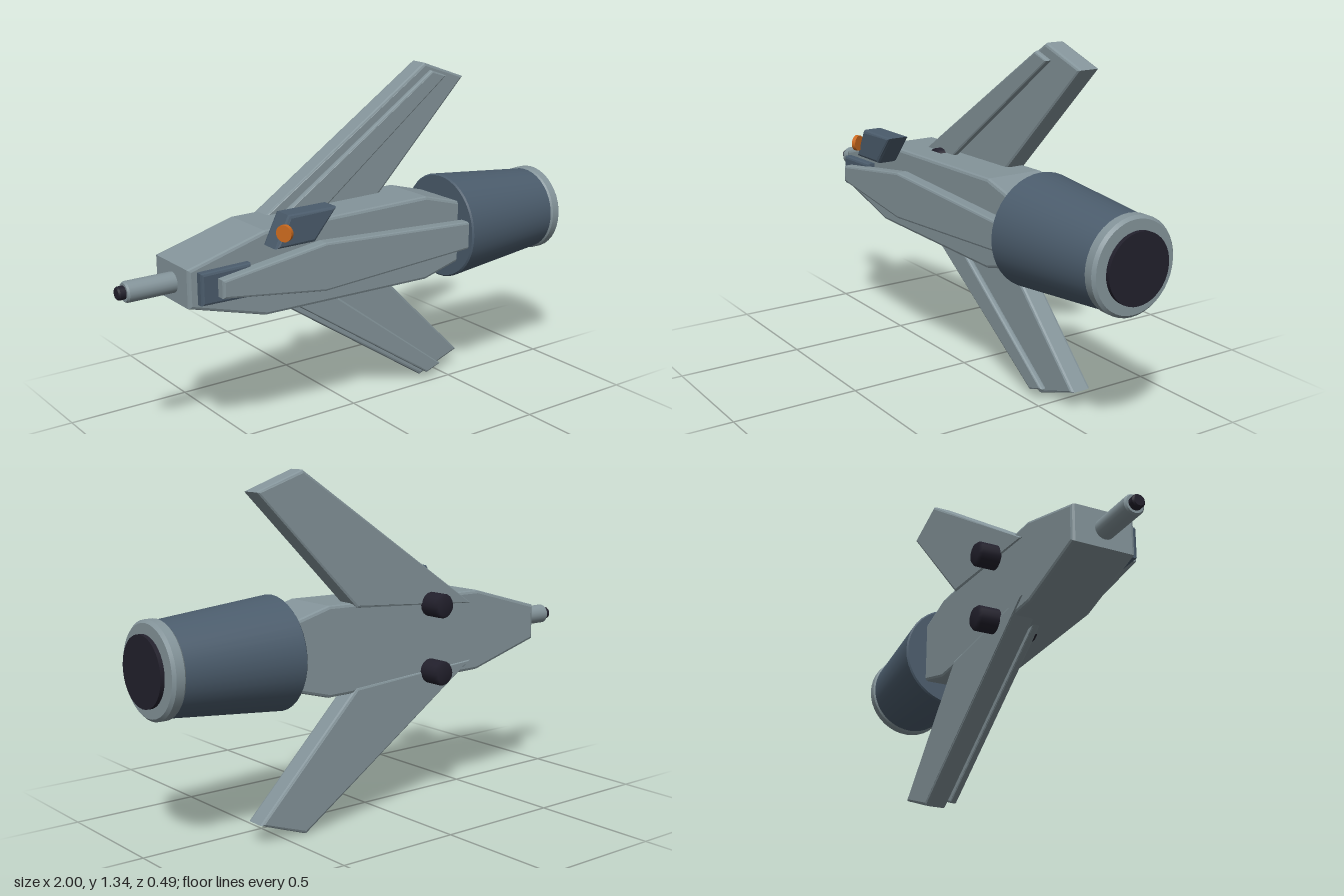
import * as THREE from 'three';

const material = (name, color) => {
  const m = new THREE.MeshStandardMaterial({ color });
  m.name = name;
  return m;
};

export function createModel() {
  const hull = material('hull grey', 0x84949a);
  const slate = material('slate blue', 0x4b5c6c);
  const dark = material('near black', 0x22202c);
  const orange = material('orange', 0xcc6a1e);

  const CY = 0.668; // height of the long axis
  const CZ = -0.026; // depth of the long axis
  const model = new THREE.Group();
  model.name = 'spacecraft';

  const add = (name, geometry, mat, x = 0, y = 0, z = 0) => {
    const mesh = new THREE.Mesh(geometry, mat);
    mesh.name = name;
    mesh.position.set(x, y, z);
    model.add(mesh);
    return mesh;
  };

  // Bevelled slab with an x,y outline measured from the long axis, between two depths
  const slab = (name, points, z0, z1, bevel, mat) => {
    const shape = new THREE.Shape(points.map(([x, y]) => new THREE.Vector2(x, y)));
    const geometry = new THREE.ExtrudeGeometry(shape, {
      depth: z1 - z0 - 2 * bevel, bevelEnabled: true, bevelSegments: 2,
      bevelSize: bevel, bevelThickness: bevel, bevelOffset: -bevel,
    });
    return add(name, geometry, mat, 0, CY, z0 + bevel);
  };

  // Outline that is mirrored across the long axis, from its upper half
  const mirrored = (half) => [...half, ...half.map(([x, y]) => [x, -y]).reverse()];

  // Round part turned about the x axis; profile pairs are [x, radius]
  const turned = (name, profile, mat, segments = 40) => {
    const flat = [];
    // Each span has its own ring of vertices, which keeps its edges crisp
    for (let i = 0; i < profile.length - 1; i++) {
      const span = [profile[i], profile[i + 1]].map(([x, r]) => new THREE.Vector2(r, x));
      flat.push(new THREE.LatheGeometry(span, segments).rotateZ(-Math.PI / 2));
    }
    const group = new THREE.Group();
    group.name = name;
    flat.forEach((g) => group.add(new THREE.Mesh(g, mat)));
    group.position.set(0, CY, CZ);
    model.add(group);
    return group;
  };

  // Hull and its raised spine
  slab('hull', mirrored([[-0.78, 0.072], [-0.46, 0.162], [0.29, 0.172], [0.5, 0.115]]),
    -0.154, 0.092, 0.012, hull);
  slab('spinePlate', mirrored([[-0.68, 0.034], [-0.24, 0.094], [0.5, 0.054]]),
    0.107, 0.162, 0.009, hull);
  slab('nosePanel', mirrored([[-0.745, 0.06], [-0.54, 0.064]]), 0.08, 0.124, 0.01, slate);

  // Swept wings with a thin panel on the front of each
  const wing = [[-0.42, 0.115], [0.406, 0.668], [0.606, 0.596], [0.165, 0.15]];
  const panel = [[-0.38, 0.115], [0.406, 0.643], [0.478, 0.617], [-0.18, 0.115]];
  for (const [side, s] of [['upper', 1], ['lower', -1]]) {
    const flip = (points) => points.map(([x, y]) => [x, y * s]);
    slab(side + 'Wing', flip(wing), -0.159, -0.073, 0.011, hull);
    slab(side + 'WingPanel', flip(panel), -0.052, -0.026, 0.008, hull);

    // Mounting peg through the hull
    const pegProfile = [[0, 0], [0.048, 0], [0.048, 0.23], [0.038, 0.243], [0, 0.243]];
    const peg = new THREE.LatheGeometry(pegProfile.map(([r, h]) => new THREE.Vector2(r, h)), 16);
    add(side + 'Peg', peg.rotateX(-Math.PI / 2), dark, -0.202, CY + s * 0.132, 0);
  }

  // Engine bell, rim and nozzle
  turned('engine', [[0.452, 0], [0.452, 0.209], [0.458, 0.215], [0.925, 0.171], [0.932, 0]], slate);
  turned('engineRim', [[0.922, 0], [0.922, 0.168], [0.932, 0.177], [0.965, 0.177],
    [0.976, 0.166], [0.976, 0]], hull);
  turned('nozzle', [[0.982, 0], [0.982, 0.129], [0.998, 0.129], [0.998, 0]], dark);

  // Nose barrel and muzzle
  turned('barrel', [[-0.972, 0], [-0.972, 0.034], [-0.965, 0.039], [-0.77, 0.039]], hull, 20);
  turned('muzzle', [[-1, 0], [-1, 0.02], [-0.994, 0.025], [-0.965, 0.025]], dark, 16);

  // Slanted sight block with a round lens
  slab('sight', [[-0.485, 0.122], [-0.428, 0.239], [-0.222, 0.239], [-0.318, 0.122]],
    0.114, 0.205, 0.012, slate);
  const lens = add('lens', new THREE.CylinderGeometry(0.031, 0.031, 0.016, 24), orange,
    -0.457, 0.85, 0.215);
  lens.quaternion.setFromUnitVectors(new THREE.Vector3(0, 1, 0),
    new THREE.Vector3(-0.88, 0, 0.47).normalize());

  return model;
}
